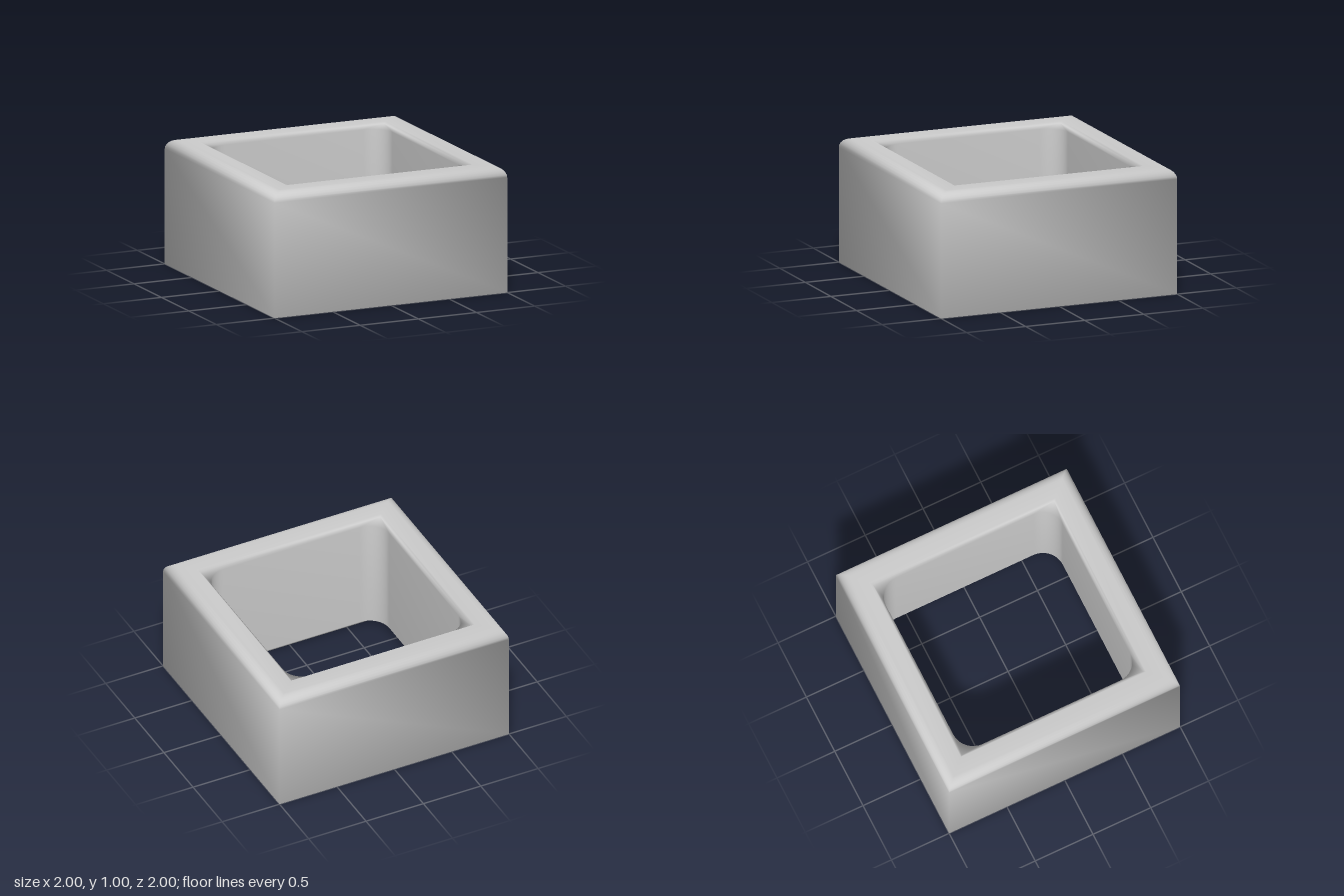
import * as THREE from 'three';
import { mergeVertices } from 'three/addons/utils/BufferGeometryUtils.js';

const ARC = 8; // segments per rounded corner

// Square loop of half-size h at height y, its corners rounded by radius r
function squareLoop(h, y, r) {
  const points = [];
  for (let corner = 0; corner < 4; corner++) {
    const mid = (corner + 0.5) * Math.PI / 2;
    const cx = Math.sign(Math.cos(mid)) * (h - r);
    const cz = Math.sign(Math.sin(mid)) * (h - r);
    for (let k = 0; k <= ARC; k++) {
      const a = (corner + k / ARC) * Math.PI / 2;
      points.push([cx + r * Math.cos(a), y, cz + r * Math.sin(a)]);
    }
  }
  return points;
}

// Skin closed rows of loops into one smooth surface
function skinLoops(loops) {
  const n = loops[0].length;
  const index = [];
  loops.forEach((_, i) => {
    const next = (i + 1) % loops.length;
    for (let j = 0; j < n; j++) {
      const k = (j + 1) % n;
      const a = i * n + j, b = next * n + j, c = next * n + k, d = i * n + k;
      index.push(a, b, c, a, c, d);
    }
  });
  const geometry = new THREE.BufferGeometry();
  geometry.setAttribute('position', new THREE.Float32BufferAttribute(loops.flat(2), 3));
  geometry.setIndex(index);
  const merged = mergeVertices(geometry, 1e-4);
  merged.computeVertexNormals();
  return merged;
}

export function createModel() {
  const group = new THREE.Group();
  group.name = 'squareFrame';

  // Outer wall, then the rounded top edge
  const loops = [squareLoop(1, 0, 0)];
  const edge = 0.08;
  for (let k = 0; k <= 6; k++) {
    const a = (k / 6) * Math.PI / 2;
    loops.push(squareLoop(1 - edge + edge * Math.cos(a), 1 - edge + edge * Math.sin(a), 0));
  }

  // Square mouth, round-cornered bore, square mouth at the bottom
  loops.push(
    squareLoop(0.8, 1, 0),
    squareLoop(0.785, 0.985, 0),
    squareLoop(0.765, 0.96, 0.17),
    squareLoop(0.765, 0.04, 0.17),
    squareLoop(0.785, 0.015, 0),
    squareLoop(0.8, 0, 0),
  );

  const frame = new THREE.Mesh(
    skinLoops(loops),
    new THREE.MeshStandardMaterial({ color: 0xcccccc }),
  );
  frame.name = 'frameWall';
  group.add(frame);
  return group;
}
